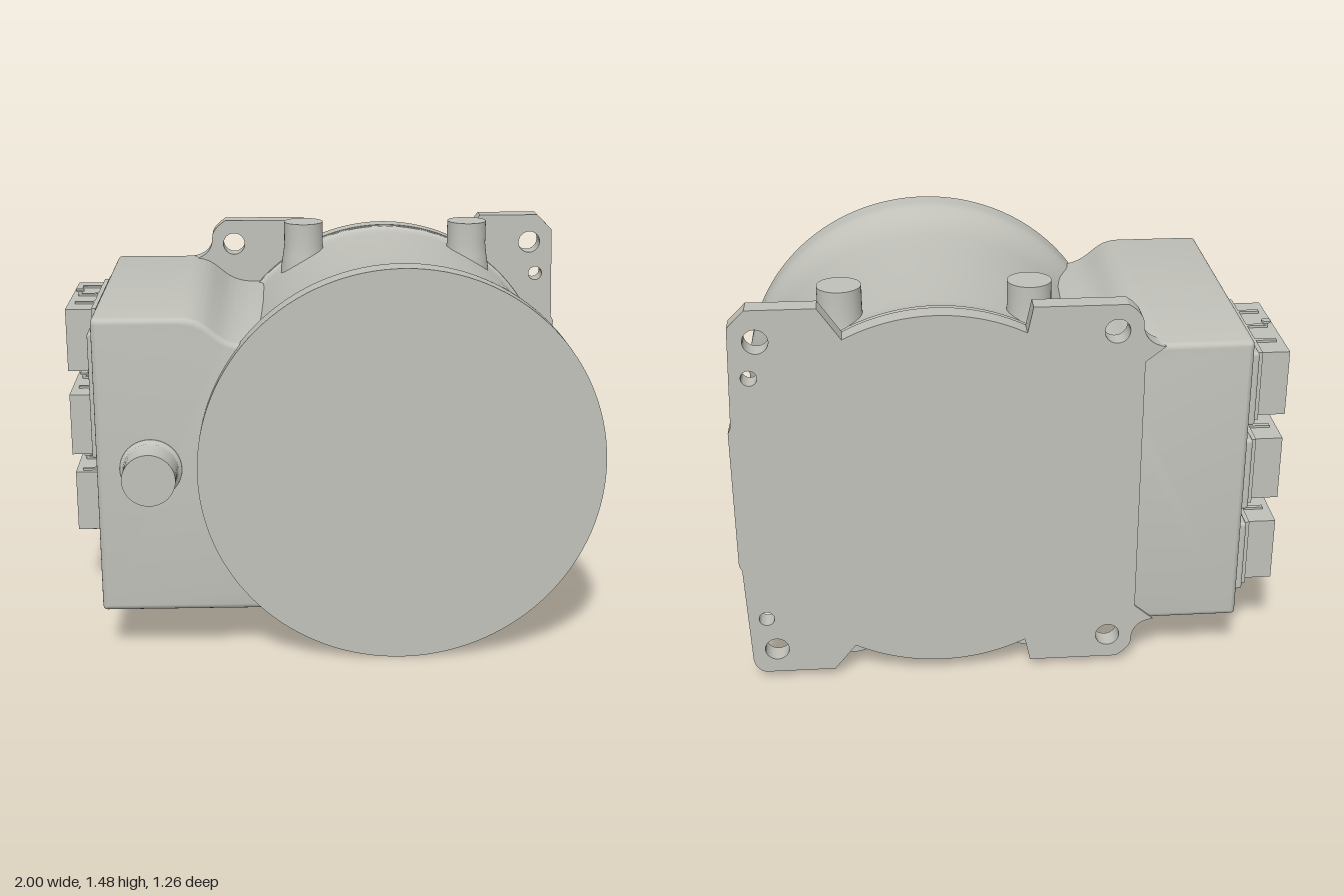
import * as THREE from 'three';
import { toCreasedNormals } from 'three/addons/utils/BufferGeometryUtils.js';
import { RoundedBoxGeometry } from 'three/addons/geometries/RoundedBoxGeometry.js';

const CX = 0.26, CY = 0.743; // drum axis

export function createModel() {
  const model = new THREE.Group();
  const metal = new THREE.MeshStandardMaterial({ color: 0xc2c2bb });
  metal.name = 'castGrey';

  const add = (name, geometry, x = 0, y = 0, z = 0, parent = model) => {
    const mesh = new THREE.Mesh(geometry, metal);
    mesh.name = name;
    mesh.position.set(x, y, z);
    parent.add(mesh);
    return mesh;
  };
  const v2 = (pairs) => pairs.map(([x, y]) => new THREE.Vector2(x, y));
  const lathe = (pairs, segments = 40) =>
    toCreasedNormals(new THREE.LatheGeometry(v2(pairs), segments), 0.5);
  const extrude = (shape, z0, z1, bevel) => {
    const g = new THREE.ExtrudeGeometry(shape, {
      depth: z1 - z0 - 2 * bevel, curveSegments: 24, bevelEnabled: bevel > 0,
      bevelSize: bevel, bevelThickness: bevel, bevelOffset: -bevel, bevelSegments: 4,
    });
    g.translate(0, 0, z0 + bevel);
    return toCreasedNormals(g, 0.5);
  };

  // Drum, flaring to a wide rim at the front and a small lip at the back
  const drum = lathe([
    [0, -0.615], [0.685, -0.615], [0.69, -0.545], [0.69, -0.53], [0.683, -0.522], [0.678, -0.505],
    [0.676, -0.45], [0.677, -0.2], [0.682, 0.05], [0.688, 0.22], [0.694, 0.28], [0.705, 0.34],
    [0.72, 0.39], [0.733, 0.425], [0.739, 0.45], [0.74, 0.47], [0.74, 0.545], [0, 0.545],
  ], 128);
  drum.rotateX(Math.PI / 2);
  add('drum', drum, CX, CY, 0);

  // Side housing with a stepped shoulder where it runs into the drum
  const box = new THREE.Shape();
  box.moveTo(-0.825, 0.185);
  box.lineTo(-0.08, 0.185);
  box.lineTo(0.1, 0.3);
  box.lineTo(0.1, 1.2);
  box.lineTo(-0.28, 1.2);
  box.bezierCurveTo(-0.42, 1.2, -0.41, 1.3, -0.53, 1.3);
  box.lineTo(-0.825, 1.3);
  box.quadraticCurveTo(-0.845, 1.3, -0.845, 1.28);
  box.lineTo(-0.845, 0.205);
  box.quadraticCurveTo(-0.845, 0.185, -0.825, 0.185);
  add('sideHousing', extrude(box, -0.622, 0.5, 0.022));

  // Back mounting plate with four lugs and a curved waist
  const plate = new THREE.Shape();
  const R = 0.692;
  const a0 = Math.acos(0.32 / R), a1 = Math.PI - Math.acos(0.31 / R);
  plate.moveTo(-0.46, 0.25);
  plate.lineTo(-0.53, 0.19);
  plate.quadraticCurveTo(-0.45, 0.18, -0.45, 0.1);
  plate.quadraticCurveTo(-0.45, 0.07, -0.395, 0.033);
  plate.lineTo(-0.07, 0.033);
  plate.absarc(CX, CY, R, -a1, -a0, false);
  plate.lineTo(0.66, 0.03);
  plate.lineTo(0.915, 0.03);
  plate.quadraticCurveTo(0.955, 0.04, 0.96, 0.09);
  plate.lineTo(0.975, 0.47);
  plate.lineTo(0.985, 0.49);
  plate.lineTo(0.985, 1.02);
  plate.lineTo(0.975, 1.04);
  plate.lineTo(0.962, 1.41);
  plate.lineTo(0.9, 1.472);
  plate.lineTo(0.66, 1.472);
  plate.absarc(CX, CY, R, a0, a1, false);
  plate.lineTo(-0.07, 1.455);
  plate.lineTo(-0.395, 1.455);
  plate.quadraticCurveTo(-0.45, 1.42, -0.45, 1.385);
  plate.quadraticCurveTo(-0.45, 1.31, -0.53, 1.295);
  plate.lineTo(-0.46, 1.24);
  plate.closePath();
  for (const s of [-1, 1]) {
    for (const [x, dy, r] of [[-0.36, 0.615, 0.044], [0.87, 0.615, 0.044], [0.9, 0.482, 0.028]]) {
      const hole = new THREE.Path();
      hole.absarc(x, CY + s * dy, r, 0, Math.PI * 2, true);
      plate.holes.push(hole);
    }
  }
  add('mountingPlate', extrude(plate, -0.63, -0.555, 0));

  // Upright stubs above and below the drum, flared at the root
  const stub = lathe([[0.095, 0.4], [0.093, 0.54], [0.083, 0.6], [0.078, 0.64], [0.078, 0.732], [0, 0.732]]);
  for (const x of [-0.075, 0.588]) {
    add('upperStub', stub, x, CY, -0.418);
    add('lowerStub', stub, x, CY, -0.418).rotation.x = Math.PI;
  }

  // Round knob on the housing front
  const knob = lathe([[0.115, 0.49], [0.112, 0.502], [0.1, 0.512], [0.096, 0.525], [0.096, 0.628], [0, 0.628]]);
  knob.rotateX(Math.PI / 2);
  add('frontKnob', knob, -0.648, 0.743, 0);

  // Small boss on the drum's side
  const boss = new THREE.CylinderGeometry(0.052, 0.052, 0.1, 32);
  boss.rotateZ(Math.PI / 2);
  add('sideBoss', boss, 0.9, 0.745, -0.485);

  // Three connectors on the housing side
  const screw = new THREE.CylinderGeometry(0.008, 0.008, 0.29, 12);
  const screwHead = new THREE.CylinderGeometry(0.017, 0.017, 0.008, 16);
  [[1.087, -0.03], [0.745, -0.03], [0.4, -0.1]].forEach(([y, zEnd]) => {
    const connector = new THREE.Group();
    connector.name = 'connector';
    connector.position.y = y;
    model.add(connector);
    const len = zEnd + 0.51, mid = (zEnd - 0.51) / 2;
    add('connectorFlange', new RoundedBoxGeometry(0.04, 0.285, len + 0.1, 3, 0.012), -0.86, 0, mid, connector);
    add('connectorNeck', new THREE.BoxGeometry(0.03, 0.262, len + 0.04), -0.882, 0, mid, connector);
    add('connectorBody', new THREE.BoxGeometry(0.12, 0.245, len), -0.94, 0, mid, connector);
    add('screwPin', screw, -0.968, 0, -0.268, connector);
    for (const s of [-1, 1]) {
      add('screwHead', screwHead, -0.968, s * 0.144, -0.268, connector);
      for (const z of [-0.41, -0.27, -0.13]) {
        add('connectorRib', new THREE.BoxGeometry(0.09, 0.012, 0.018), -0.928, s * 0.125, z, connector);
      }
    }
  });

  // Flat cover plates beside the connectors
  add('largeCover', new RoundedBoxGeometry(0.04, 0.47, 0.36, 2, 0.008), -0.848, 0.99, 0.23);
  add('smallCover', new RoundedBoxGeometry(0.04, 0.17, 0.22, 2, 0.008), -0.848, 0.39, 0.12);

  return model;
}
